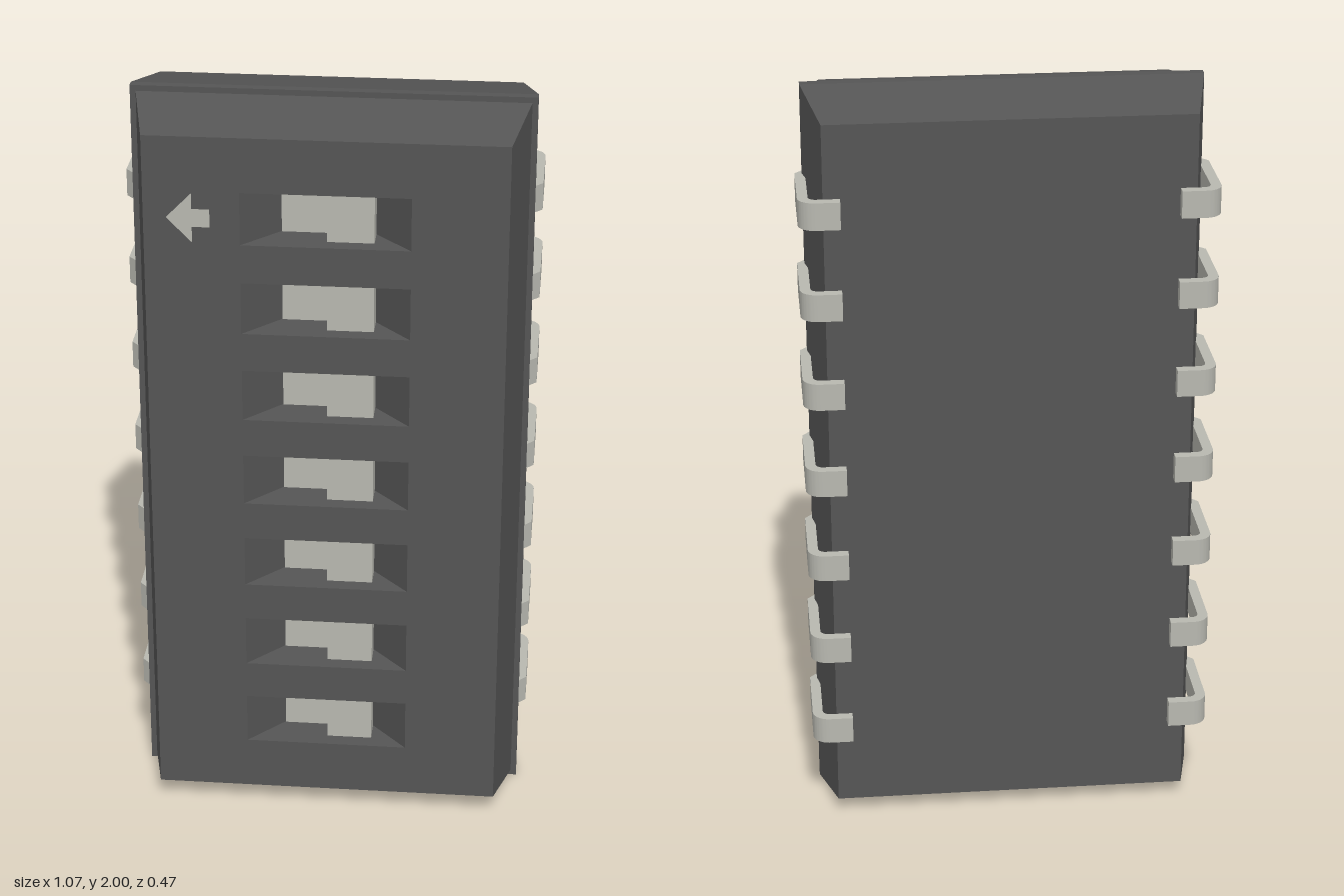
import * as THREE from 'three';
import { toCreasedNormals } from 'three/addons/utils/BufferGeometryUtils.js';

const COUNT = 7, PITCH = 0.243, FRONT = 0.229, SLOT_X = 0.215, SLOT_Y = 0.07;
const dark = new THREE.MeshStandardMaterial({ color: 0x555555, flatShading: true });
const light = new THREE.MeshStandardMaterial({ color: 0xb8b8b0 });

// Joins rectangular rings [halfX, halfY, z]; rising z faces outward, falling z inward.
function loft(rings) {
  const corners = [[-1, -1], [1, -1], [1, 1], [-1, 1]];
  const point = ([hx, hy, z], i) => [corners[i % 4][0] * hx, corners[i % 4][1] * hy, z];
  const pos = [];
  for (let r = 0; r < rings.length - 1; r++) {
    for (let i = 0; i < 4; i++) {
      const a = point(rings[r], i), b = point(rings[r], i + 1);
      const c = point(rings[r + 1], i + 1), d = point(rings[r + 1], i);
      pos.push(...a, ...b, ...c, ...a, ...c, ...d);
    }
  }
  const geo = new THREE.BufferGeometry();
  geo.setAttribute('position', new THREE.Float32BufferAttribute(pos, 3));
  geo.computeVertexNormals();
  return geo;
}

function rectangle(PathType, hx, hy, cy = 0) {
  return new PathType([[-hx, cy - hy], [hx, cy - hy], [hx, cy + hy], [-hx, cy + hy]]
    .map(([x, y]) => new THREE.Vector2(x, y)));
}

function add(parent, name, geo, material, x = 0, y = 0, z = 0) {
  const mesh = new THREE.Mesh(geo, material);
  mesh.name = name;
  mesh.position.set(x, y, z);
  parent.add(mesh);
  return mesh;
}

// Bent lead: side strip, rounded bend and inward foot
function pinGeometry() {
  const s = new THREE.Shape();
  s.moveTo(0.49, -0.024);
  s.lineTo(0.515, -0.024);
  s.lineTo(0.534, -0.003);
  s.lineTo(0.534, 0.192);
  s.absarc(0.489, 0.192, 0.045, 0, Math.PI / 2, false);
  s.lineTo(0.428, 0.237);
  s.lineTo(0.428, 0.209);
  s.lineTo(0.487, 0.209);
  s.absarc(0.487, 0.189, 0.02, Math.PI / 2, 0, true);
  s.lineTo(0.507, 0);
  s.lineTo(0.49, 0);
  const geo = new THREE.ExtrudeGeometry(s, { depth: 0.072, bevelEnabled: false, curveSegments: 8 });
  geo.translate(0, 0, -0.036);
  geo.rotateX(-Math.PI / 2);
  return toCreasedNormals(geo, 0.5);
}

export function createModel() {
  const model = new THREE.Group();
  model.name = 'dipSwitch';
  const inner = new THREE.Group();
  inner.name = 'switchAssembly';
  inner.position.set(0, 1, 0.004);
  model.add(inner);

  const rows = Array.from({ length: COUNT }, (_, i) => (i - (COUNT - 1) / 2) * PITCH);

  // Housing: tapered base and slightly smaller tapered cover
  add(inner, 'base', loft([[0, 0, -0.209], [0.471, 0.957, -0.209], [0.515, 1, 0],
    [0.515, 1, 0.025], [0.5, 0.985, 0.025]]), dark);
  add(inner, 'cover', loft([[0.5, 0.985, 0.025], [0.458, 0.943, FRONT]]), dark);

  // Front face with a window for each switch
  const face = rectangle(THREE.Shape, 0.458, 0.943);
  rows.forEach(y => face.holes.push(rectangle(THREE.Path, SLOT_X, SLOT_Y, y)));
  add(inner, 'frontFace', new THREE.ShapeGeometry(face), dark, 0, 0, FRONT);

  // Slots with sloped ends, stepped sliders and pins on both sides
  const slot = loft([[SLOT_X, SLOT_Y, FRONT], [0.12, SLOT_Y, FRONT - 0.105], [0, 0, FRONT - 0.105]]);
  const sliderBase = new THREE.BoxGeometry(0.24, 0.138, 0.02);
  const sliderKnob = new THREE.BoxGeometry(0.12, 0.138, 0.07);
  const pin = pinGeometry();
  rows.forEach(y => {
    add(inner, 'slot', slot, dark, 0, y, 0);
    add(inner, 'sliderBase', sliderBase, light, 0, y, FRONT - 0.11);
    add(inner, 'sliderKnob', sliderKnob, light, 0.06, y, FRONT - 0.075);
    add(inner, 'leftPin', pin, light, 0, y, 0);
    add(inner, 'rightPin', pin, light, 0, y, 0).rotation.z = Math.PI;
  });

  // Direction arrow beside the top switch
  const arrow = new THREE.Shape([[-0.4, 0], [-0.335, -0.066], [-0.335, -0.024], [-0.29, -0.024],
    [-0.29, 0.024], [-0.335, 0.024], [-0.335, 0.066]].map(([x, y]) => new THREE.Vector2(x, y)));
  add(inner, 'arrowMark', new THREE.ShapeGeometry(arrow), light, 0, rows[COUNT - 1], FRONT + 0.002);

  return model;
}
